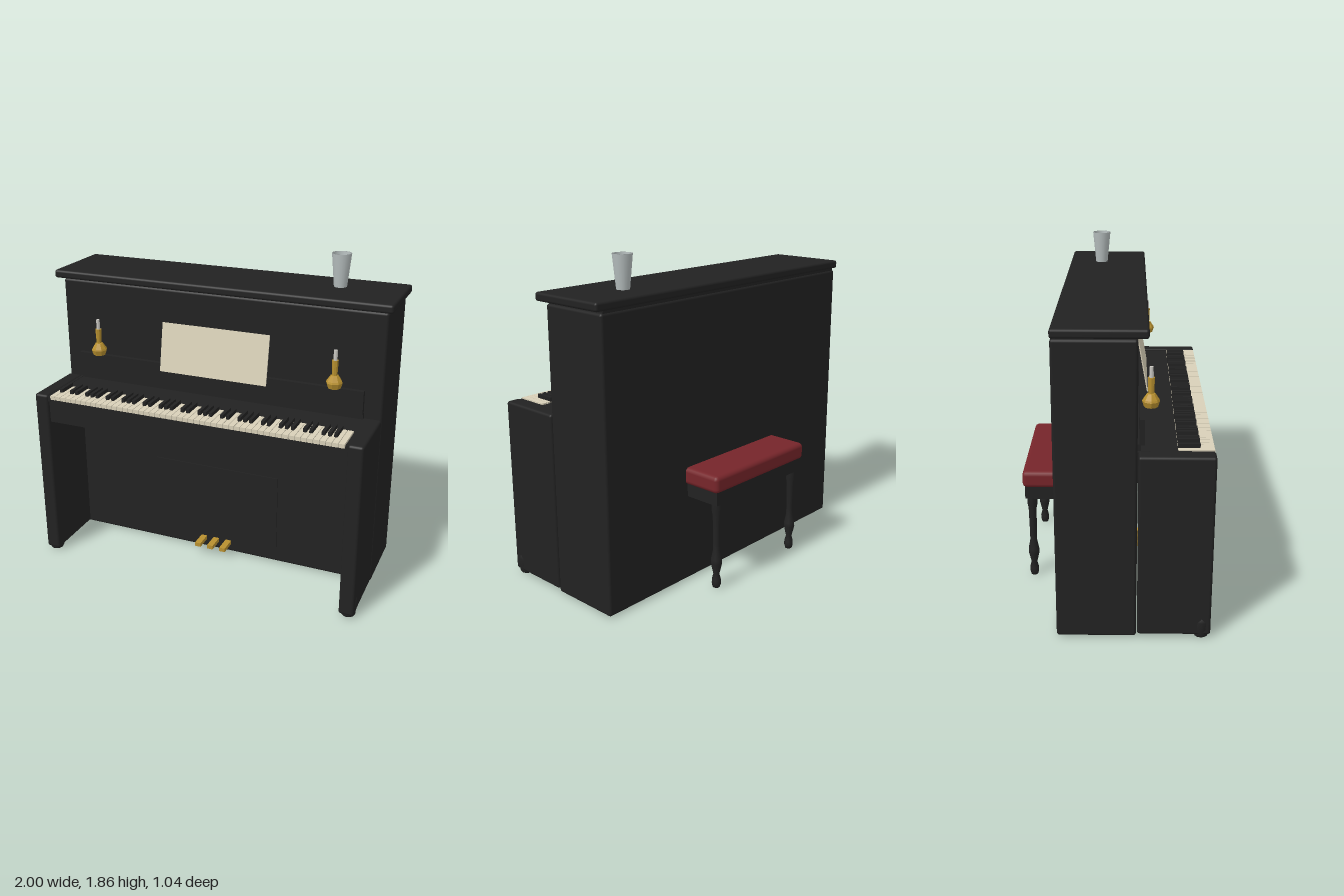
import * as THREE from 'three';
import { RoundedBoxGeometry } from 'three/addons/geometries/RoundedBoxGeometry.js';

const mat = (name, color) => {
  const m = new THREE.MeshStandardMaterial({ color });
  m.name = name;
  return m;
};

export function createModel() {
  const root = new THREE.Group();
  root.name = 'uprightPiano';

  const black = mat('blackLacquer', 0x222222);
  const ivory = mat('ivory', 0xd8d0b8);
  const brass = mat('brass', 0xb8902f);
  const red = mat('redLeather', 0x76252a);
  const glass = mat('greyGlass', 0xb4bcbc);
  glass.side = THREE.DoubleSide;
  const wax = mat('candleWax', 0xc8c6c0);
  const flatBrass = brass;
  flatBrass.flatShading = true;

  const add = (name, geo, material, x = 0, y = 0, z = 0, parent = root) => {
    const m = new THREE.Mesh(geo, material);
    m.name = name;
    m.position.set(x, y, z);
    parent.add(m);
    return m;
  };
  // Box given by its extents; r > 0 rounds the edges
  const box = (name, material, [x0, x1], [y0, y1], [z0, z1], r = 0, parent = root) => {
    const s = [x1 - x0, y1 - y0, z1 - z0];
    const geo = r ? new RoundedBoxGeometry(...s, 2, r) : new THREE.BoxGeometry(...s);
    return add(name, geo, material, (x0 + x1) / 2, (y0 + y1) / 2, (z0 + z1) / 2, parent);
  };
  const lathe = (points, sides) =>
    new THREE.LatheGeometry(points.map(([r, y]) => new THREE.Vector2(r, y)), sides);

  // Case
  box('caseBody', black, [-0.97, 0.97], [0.005, 1.62], [-0.29, 0.127], 0.015);
  box('lidNeck', black, [-0.955, 0.955], [1.6, 1.64], [-0.283, 0.118]);
  box('lid', black, [-1, 1], [1.63, 1.677], [-0.29, 0.178], 0.014);
  box('lowerPanel', black, [-0.39, 0.39], [0.1, 0.56], [0.12, 0.134]);

  // Keyboard shelf
  box('keyBed', black, [-0.89, 0.89], [0.86, 1.005], [0.12, 0.5]);
  box('keyShelf', black, [-0.89, 0.89], [1.0, 1.02], [0.12, 0.33]);
  box('fallboard', black, [-0.87, 0.87], [1.05, 1.185], [0.137, 0.163]);
  box('fallboardHinge', black, [-0.87, 0.87], [1.015, 1.055], [0.12, 0.145]);

  // Side cheeks, with turned feet at their front corners
  const foot = lathe([[0, 0], [0.036, 0], [0.042, 0.012], [0.042, 0.03], [0.046, 0.05],
    [0.046, 0.09], [0.038, 0.12], [0, 0.12]], 12);
  for (const s of [-1, 1]) {
    const side = s < 0 ? 'right' : 'left';
    box(side + 'Cheek', black, s < 0 ? [-0.97, -0.885] : [0.885, 0.97], [0.018, 1.028], [0.132, 0.517], 0.014);
    box(side + 'KeyBlock', black, s < 0 ? [-0.9, -0.872] : [0.872, 0.9], [0.99, 1.022], [0.14, 0.51]);
    add(side + 'Foot', foot, black, s * 0.93, 0, 0.469);
  }

  // 52 white keys starting on A, with the black keys between them
  const keys = new THREE.Group();
  keys.name = 'keyboard';
  root.add(keys);
  const pitch = 1.74 / 52;
  for (let i = 0; i < 52; i++) {
    const x = -0.87 + i * pitch;
    box('whiteKey', ivory, [x + 0.0015, x + pitch - 0.0015], [1.005, 1.028], [0.33, 0.513], 0, keys);
    if (i < 51 && [0, 2, 3, 5, 6].includes(i % 7)) {
      const c = x + pitch;
      box('blackKey', black, [c - 0.009, c + 0.009], [1.01, 1.05], [0.33, 0.442], 0, keys);
    }
  }

  // Sheet music leaning on the fallboard
  const sheet = add('sheetMusic', new THREE.BoxGeometry(0.65, 0.285, 0.006), ivory, 0, 1.285, 0.158);
  sheet.rotation.x = -0.18;

  // Candle holders
  const holder = lathe([[0, 1.2], [0.036, 1.2], [0.046, 1.23], [0.042, 1.24], [0.022, 1.27],
    [0.015, 1.272], [0.018, 1.355], [0, 1.355]], 8);
  for (const s of [-1, 1]) {
    add('candleHolder', holder, flatBrass, s * 0.715, 0, 0.195);
    add('candle', new THREE.CylinderGeometry(0.01, 0.012, 0.07, 10), wax, s * 0.715, 1.377, 0.195);
  }

  // Pedals
  for (const x of [-0.08, 0, 0.08]) {
    box('pedal', brass, [x - 0.018, x + 0.018], [0.056, 0.08], [0.12, 0.23]);
  }

  // Drinking glass on the lid
  add('drinkingGlass', lathe([[0.036, 1.677], [0.054, 1.86], [0.048, 1.86], [0.034, 1.68]], 20),
    glass, 0.645, 0, -0.095);

  // Bench, pushed against the back
  const bench = new THREE.Group();
  bench.name = 'bench';
  root.add(bench);
  box('benchCushion', red, [-0.39, 0.39], [0.582, 0.68], [-0.518, -0.2], 0.025, bench);
  box('benchApron', black, [-0.375, 0.375], [0.51, 0.59], [-0.505, -0.21], 0, bench);
  const leg = lathe([[0, 0], [0.02, 0], [0.026, 0.02], [0.026, 0.045], [0.017, 0.08], [0.032, 0.145],
    [0.031, 0.17], [0.02, 0.225], [0.02, 0.27], [0.023, 0.43], [0.029, 0.46], [0.029, 0.515]], 12);
  for (const x of [-0.335, 0.335]) {
    for (const z of [-0.47, -0.245]) add('benchLeg', leg, black, x, 0.003, z, bench);
  }

  return root;
}
